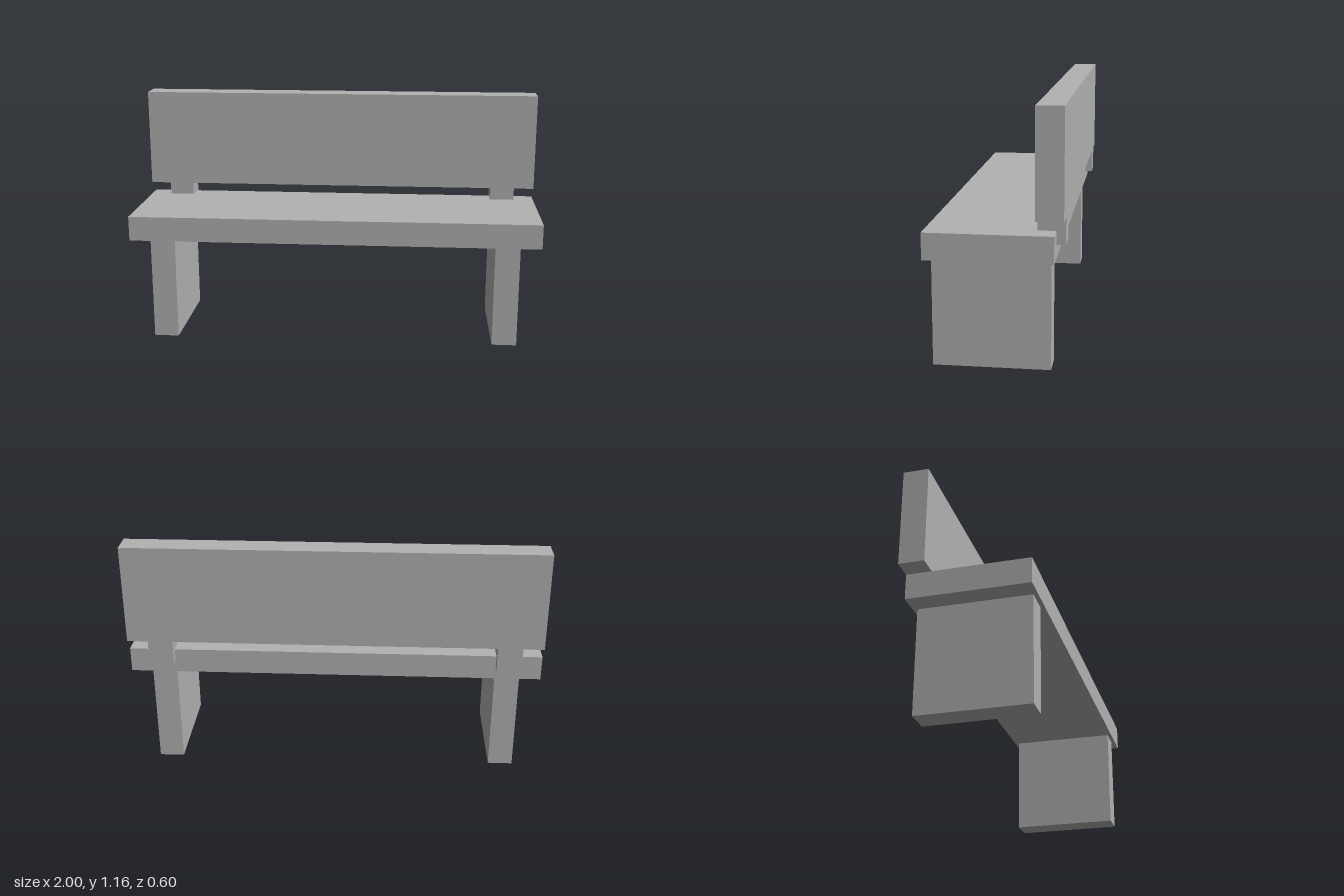
import * as THREE from 'three';

export function createModel() {
  const bench = new THREE.Group();
  bench.name = 'bench';

  const stone = new THREE.MeshStandardMaterial({ color: 0xb2b2b2 });
  stone.name = 'grey stone';

  // Box given by its size and centre
  function addBlock(name, size, centre) {
    const mesh = new THREE.Mesh(new THREE.BoxGeometry(...size), stone);
    mesh.name = name;
    mesh.position.set(...centre);
    bench.add(mesh);
  }

  // Seat slab and backrest panel
  addBlock('seat', [2, 0.12, 0.56], [0, 0.56, 0.02]);
  addBlock('backrest', [2, 0.48, 0.12], [0, 0.92, -0.24]);

  // Slab legs, and the short blocks that carry the backrest
  for (const [side, x] of [['left', 0.84], ['right', -0.84]]) {
    addBlock(side + 'Leg', [0.12, 0.5, 0.52], [x, 0.25, 0.02]);
    addBlock(side + 'BackrestSupport', [0.12, 0.12, 0.12], [x, 0.62, -0.24]);
  }

  return bench;
}
